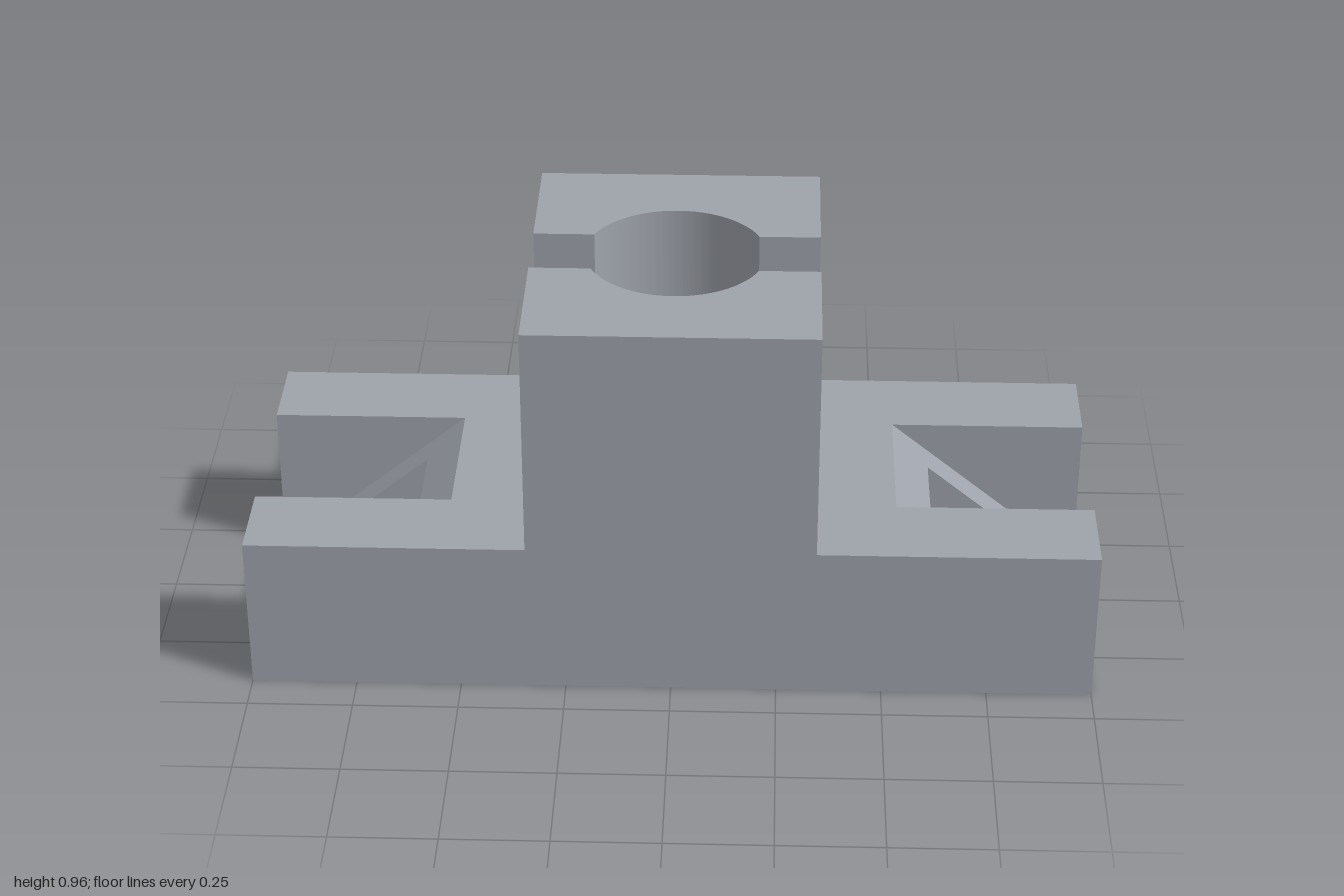
import * as THREE from 'three';
import { toCreasedNormals } from 'three/addons/utils/BufferGeometryUtils.js';

const HALF_DEPTH = 0.405, TOWER_X = 0.34, BASE_H = 0.384, TOWER_H = 0.958;
const SLOT_Y = 0.618, SLOT_Z = 0.085, BORE_R = 0.213;
const NOTCH_Z = 0.19, NOTCH_X = 0.53;                      // sloped notch in each end
const POCKET = { x0: 0.618, x1: 0.869, z: 0.108 };         // stepped pocket in the slope

const material = new THREE.MeshStandardMaterial({ color: 0x9ea2aa });
const slopeY = (x) => BASE_H * (1 - x) / (1 - NOTCH_X);
const polygon = (points) => new THREE.Shape(points.map(([x, y]) => new THREE.Vector2(x, y)));

function extrude(shape, depth) {
  return new THREE.ExtrudeGeometry(shape, { depth, bevelEnabled: false, curveSegments: 40 });
}

function addMesh(parent, name, geometry) {
  const mesh = new THREE.Mesh(toCreasedNormals(geometry, 0.5), material);
  mesh.name = name;
  parent.add(mesh);
  return mesh;
}

// Plan outline raised from y0 to y1
function addUpright(parent, name, shape, y0, y1) {
  return addMesh(parent, name, extrude(shape, y1 - y0).rotateX(-Math.PI / 2).translate(0, y0, 0));
}

// Side profile stretched from z0 to z1
function addLayer(parent, name, shape, z0, z1) {
  return addMesh(parent, name, extrude(shape, z1 - z0).translate(0, 0, z0));
}

function createWing(name) {
  const wing = new THREE.Group();
  wing.name = name;

  const block = polygon([[TOWER_X, 0], [1, 0], [1, BASE_H], [TOWER_X, BASE_H]]);
  const ramp = polygon([[TOWER_X, 0], [1, 0], [NOTCH_X, BASE_H], [TOWER_X, BASE_H]]);
  const { x0, x1, z } = POCKET;
  const stepped = polygon([
    [TOWER_X, 0], [1, 0], [x1, slopeY(x1)], [x0, slopeY(x1)],
    [x0, slopeY(x0)], [NOTCH_X, BASE_H], [TOWER_X, BASE_H],
  ]);

  // Full-height rails, sloped borders and the pocketed centre
  addLayer(wing, 'frontRail', block, NOTCH_Z, HALF_DEPTH);
  addLayer(wing, 'backRail', block, -HALF_DEPTH, -NOTCH_Z);
  addLayer(wing, 'frontRampBorder', ramp, z, NOTCH_Z);
  addLayer(wing, 'backRampBorder', ramp, -NOTCH_Z, -z);
  addLayer(wing, 'pocketedRamp', stepped, -z, z);
  return wing;
}

export function createModel() {
  const model = new THREE.Group();
  model.name = 'slottedMountingBlock';

  // Bored core up to the slot floor
  const core = polygon([
    [-TOWER_X, -HALF_DEPTH], [TOWER_X, -HALF_DEPTH], [TOWER_X, HALF_DEPTH], [-TOWER_X, HALF_DEPTH],
  ]);
  core.holes.push(new THREE.Path().absarc(0, 0, BORE_R, 0, Math.PI * 2, true));
  addUpright(model, 'boredCore', core, 0, SLOT_Y);

  // Two cheeks either side of the slot, each cut by the bore
  const angle = Math.asin(SLOT_Z / BORE_R);
  const cheek = new THREE.Shape();
  cheek.moveTo(-TOWER_X, SLOT_Z);
  cheek.lineTo(-BORE_R * Math.cos(angle), SLOT_Z);
  cheek.absarc(0, 0, BORE_R, Math.PI - angle, angle, true);
  cheek.lineTo(TOWER_X, SLOT_Z);
  cheek.lineTo(TOWER_X, HALF_DEPTH);
  cheek.lineTo(-TOWER_X, HALF_DEPTH);
  addUpright(model, 'backCheek', cheek, SLOT_Y, TOWER_H);
  addUpright(model, 'frontCheek', cheek, SLOT_Y, TOWER_H).rotation.y = Math.PI;

  // Matching notched wings
  const rightWing = createWing('rightWing');
  rightWing.rotation.y = Math.PI;
  model.add(createWing('leftWing'), rightWing);
  return model;
}
